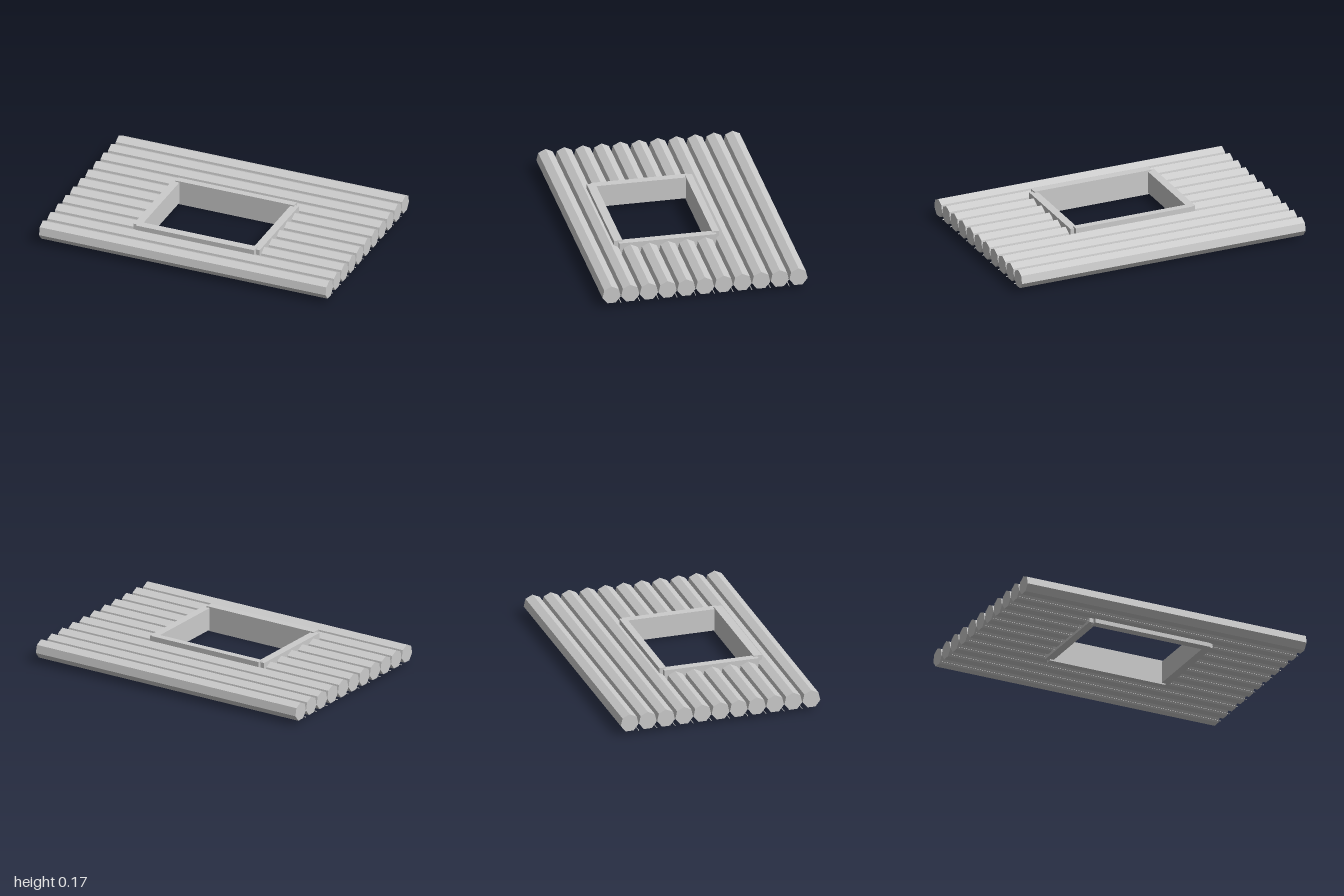
import * as THREE from 'three';

export function createModel() {
  const model = new THREE.Group();
  model.name = 'logRoofWithHatch';
  const grey = new THREE.MeshStandardMaterial({ color: 0xcccccc, flatShading: true });
  grey.name = 'light grey';

  const add = (name, geometry, x, y, z) => {
    const mesh = new THREE.Mesh(geometry, grey);
    mesh.name = name;
    mesh.position.set(x, y, z);
    model.add(mesh);
  };

  // Seven-sided rod lying along x, with one corner pointing up
  const rod = (name, radius, x0, x1, y, z, sides = 7) => {
    const g = new THREE.CylinderGeometry(radius, radius, x1 - x0, sides, 1, false, Math.PI / 2);
    g.rotateZ(Math.PI / 2);
    add(name, g, (x0 + x1) / 2, y, z);
  };

  // Full-length rod, or a pair of pieces on either side of the hatch
  const row = (name, radius, y, z, sides) => {
    if (z > -0.17 && z < 0.41) {
      rod(name + 'Right', radius, -1, -0.41, y, z, sides);
      rod(name + 'Left', radius, 0.41, 1, y, z, sides);
    } else rod(name, radius, -1, 1, y, z, sides);
  };

  // Eleven logs with a thin cord under each gap
  const spacing = 0.1225;
  for (let i = -5; i <= 5; i++) {
    row('log', 0.0615, 0.0835, i * spacing);
    if (i < 5) row('cord', 0.003, 0.024, (i + 0.5) * spacing, 4);
  }

  // Hatch frame: taller front and back beams, lower side beams
  const beam = (name, x0, x1, y0, y1, z0, z1) =>
    add(name, new THREE.BoxGeometry(x1 - x0, y1 - y0, z1 - z0),
      (x0 + x1) / 2, (y0 + y1) / 2, (z0 + z1) / 2);
  beam('frameFront', -0.413, 0.413, 0, 0.167, 0.414, 0.47);
  beam('frameBack', -0.413, 0.413, 0, 0.167, -0.22, -0.174);
  beam('frameLeft', 0.387, 0.44, 0.01, 0.159, -0.196, 0.441);
  beam('frameRight', -0.44, -0.387, 0.01, 0.159, -0.196, 0.441);

  return model;
}
